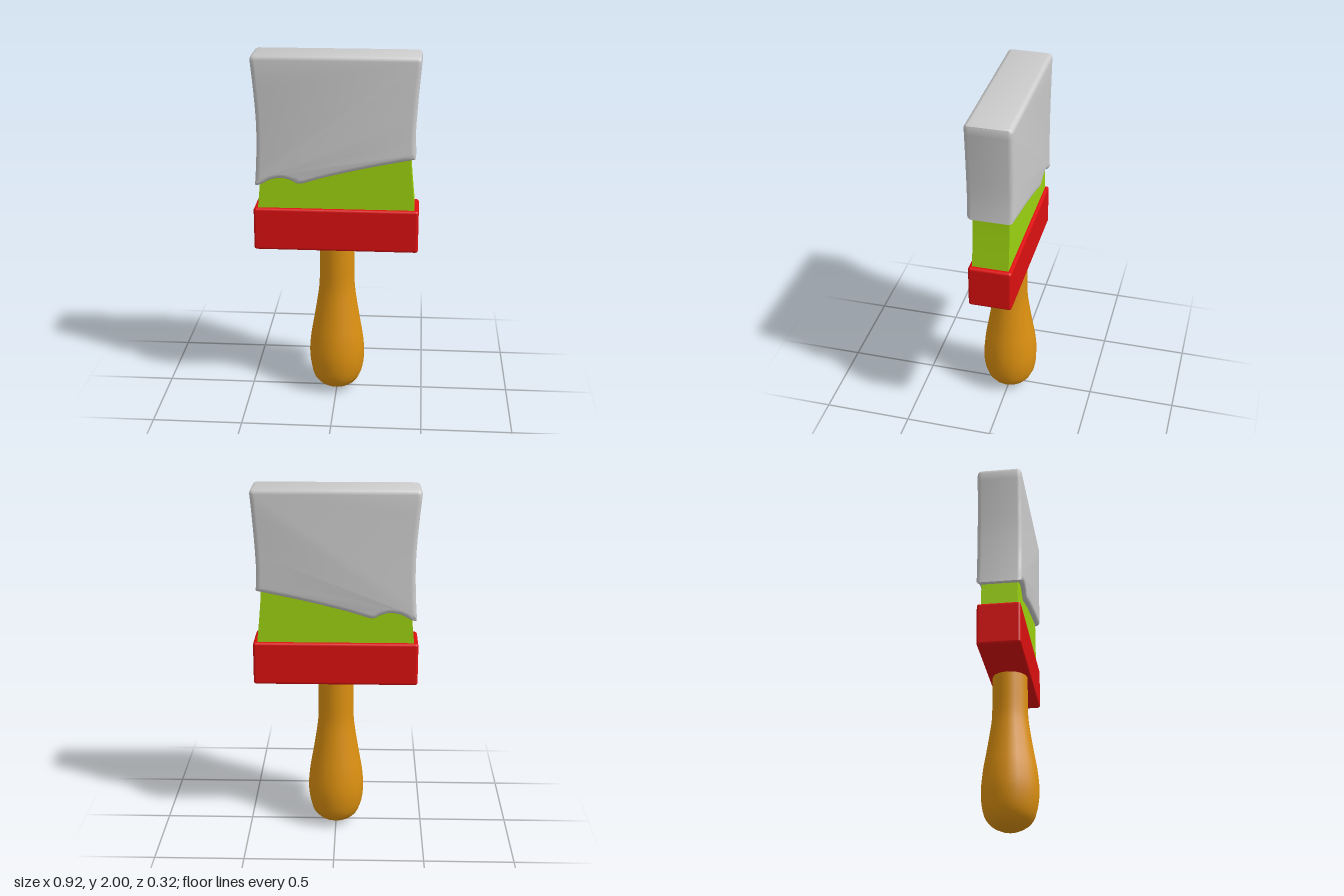
import * as THREE from 'three';
import { toCreasedNormals } from 'three/addons/utils/BufferGeometryUtils.js';
import { RoundedBoxGeometry } from 'three/addons/geometries/RoundedBoxGeometry.js';

const v2 = (list) => list.map(([x, y]) => new THREE.Vector2(x, y));
const curve = (list, n) => new THREE.SplineCurve(v2(list)).getPoints(n);

function addPart(group, name, geometry, color) {
  const mesh = new THREE.Mesh(geometry, new THREE.MeshStandardMaterial({ color }));
  mesh.name = name;
  group.add(mesh);
  return mesh;
}

// Extrudes an outline to a slab of the given thickness, centred on z = 0
function slab(points, thickness, bevel) {
  const geometry = new THREE.ExtrudeGeometry(new THREE.Shape(points), {
    depth: thickness - 2 * bevel,
    bevelEnabled: bevel > 0,
    bevelSize: bevel,
    bevelThickness: bevel,
    bevelOffset: -bevel,
    bevelSegments: 4,
  });
  geometry.translate(0, 0, bevel - thickness / 2);
  return toCreasedNormals(geometry, 0.75);
}

export function createModel() {
  const brush = new THREE.Group();
  brush.name = 'paintbrush';

  // Turned wooden handle
  const profile = [
    new THREE.Vector2(0, 0),
    ...curve([[0.05, 0.01], [0.105, 0.04], [0.143, 0.1], [0.16, 0.21], [0.152, 0.33],
      [0.13, 0.46], [0.108, 0.6], [0.101, 0.68], [0.1, 0.8], [0.1, 0.92]], 28),
  ];
  addPart(brush, 'handle', new THREE.LatheGeometry(profile, 16), 0xdc9010);

  // Collar holding the bristles
  const collar = addPart(brush, 'collar', new RoundedBoxGeometry(0.92, 0.245, 0.24, 3, 0.015), 0xdd1010);
  collar.position.y = 1.0175;

  // Bristle block, narrowing upwards
  const bristles = [
    ...curve([[0.44, 1.1], [0.435, 1.15], [0.42, 1.3], [0.41, 1.43], [0.405, 1.6]], 10),
    ...curve([[-0.405, 1.6], [-0.41, 1.43], [-0.42, 1.3], [-0.435, 1.15], [-0.44, 1.1]], 10),
  ];
  addPart(brush, 'bristles', slab(bristles, 0.2, 0), 0x9cd210);

  // Thick paint coat with waisted sides and a wavy lower edge
  const outline = [
    ...curve([[-0.44, 1.27], [-0.41, 1.28], [-0.36, 1.306], [-0.3, 1.316], [-0.245, 1.302],
      [-0.2, 1.284], [-0.1, 1.313], [0, 1.34], [0.2, 1.388], [0.425, 1.434]], 36),
    ...curve([[0.438, 1.437], [0.433, 1.55], [0.439, 1.7], [0.451, 1.87], [0.46, 1.975]], 10),
    ...curve([[0.455, 1.993], [0.44, 2]], 2),
    ...curve([[-0.44, 2], [-0.455, 1.993]], 2),
    ...curve([[-0.463, 1.975], [-0.45, 1.84], [-0.438, 1.68], [-0.435, 1.55], [-0.44, 1.4], [-0.449, 1.275]], 12),
  ];
  addPart(brush, 'paintCoat', slab(outline, 0.254, 0.027), 0xcccccc);

  return brush;
}
